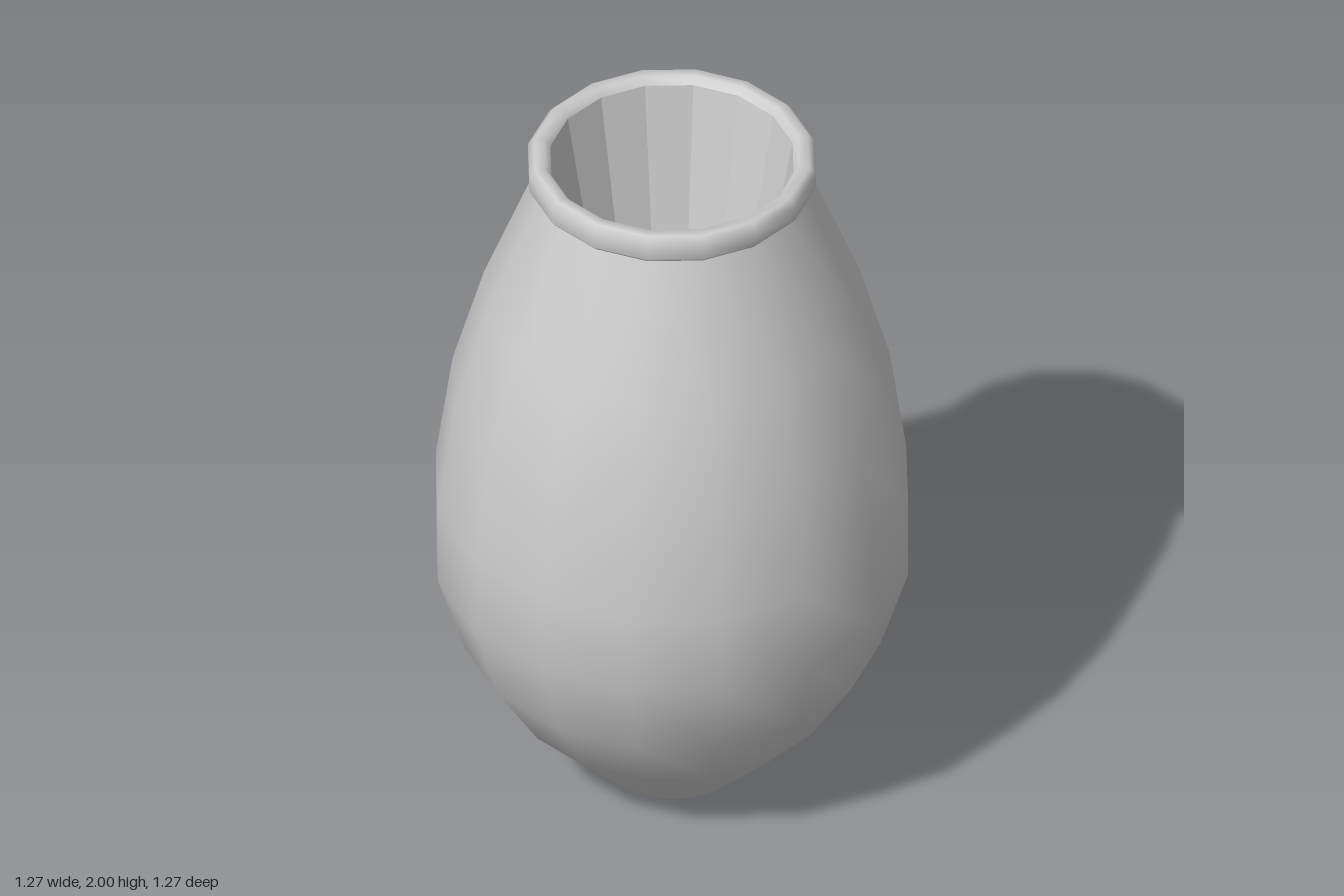
import * as THREE from 'three';

const SIDES = 16;

export function createModel() {
  const group = new THREE.Group();
  const smooth = new THREE.MeshStandardMaterial({ color: 0xcccccc });
  const flat = new THREE.MeshStandardMaterial({ color: 0xcccccc, flatShading: true });

  const addPart = (name, geometry, material) => {
    const mesh = new THREE.Mesh(geometry, material);
    mesh.name = name;
    group.add(mesh);
    return mesh;
  };
  const lathe = (profile) =>
    new THREE.LatheGeometry(profile.map(([r, y]) => new THREE.Vector2(r, y)), SIDES);

  // Swelling outer wall, foot to neck
  addPart('body', lathe([
    [0.2, 0], [0.435, 0.24], [0.56, 0.44], [0.635, 0.68],
    [0.635, 0.92], [0.59, 1.24], [0.505, 1.54], [0.355, 1.925],
  ]), smooth);

  // Rounded lip around the mouth
  addPart('rim', lathe([
    [0.35, 1.922], [0.376, 1.922], [0.387, 1.935], [0.387, 1.98],
    [0.37, 2], [0.342, 2], [0.327, 1.98],
  ]), smooth);

  // Faceted hollow tapering to a point
  addPart('interior', lathe([[0.327, 1.98], [0, 0.1]]), flat);

  // Flat underside
  const base = addPart('base', new THREE.CircleGeometry(0.2, SIDES), flat);
  base.rotation.x = Math.PI / 2;

  return group;
}
